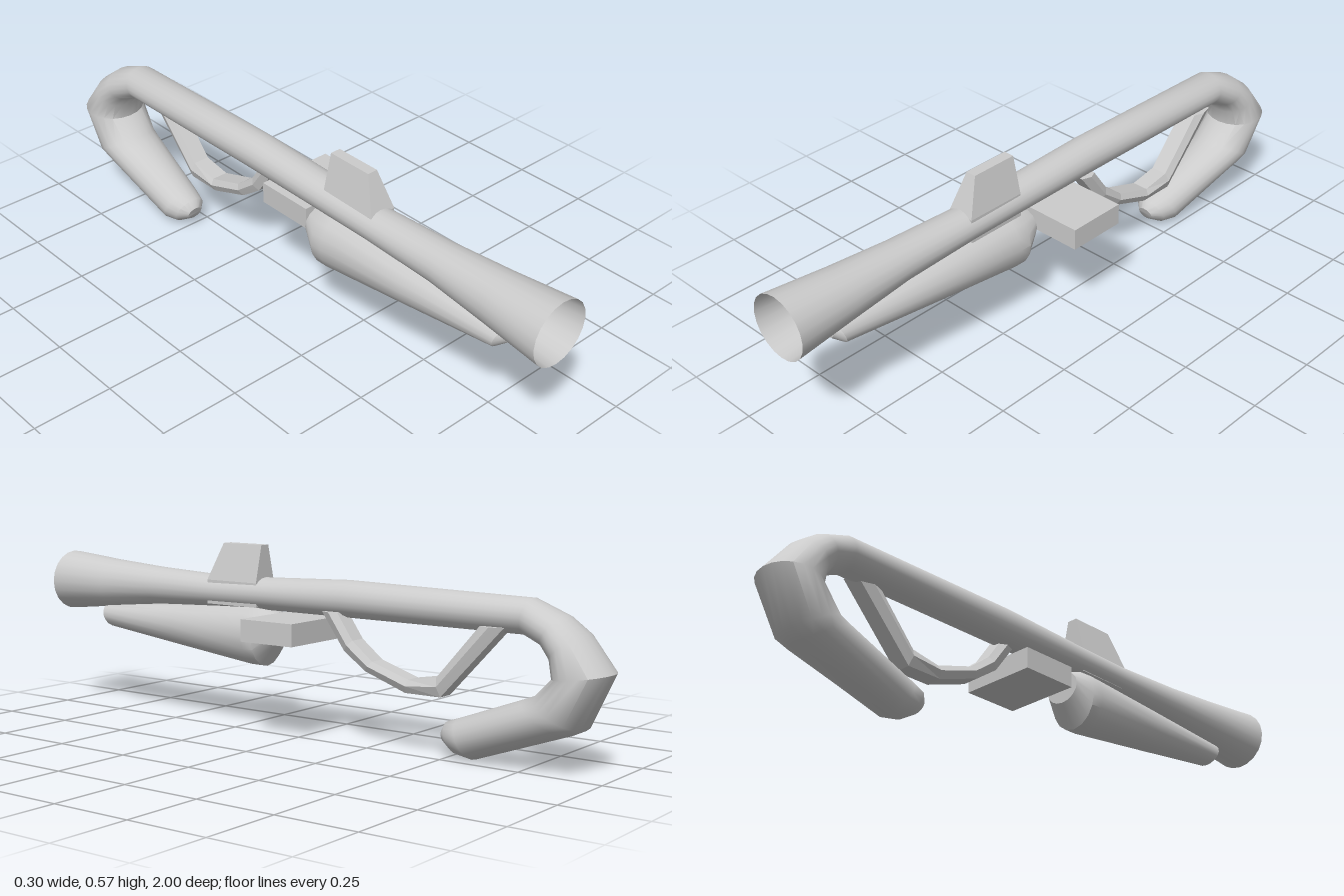
import * as THREE from 'three';
import { toCreasedNormals } from 'three/addons/utils/BufferGeometryUtils.js';

const CX = -0.05; // centre plane of the body

// Unit cross-section, counter-clockwise seen from the front
const circle = (n) => Array.from({ length: n }, (_, i) => {
  const a = (i / n) * Math.PI * 2;
  return [Math.cos(a), Math.sin(a)];
});

// Skin a row of rings running front to back.
// Each ring: [upper z, upper y, lower z, lower y, half width, centre x]
function loft(rings, section, crease, capFront, capBack) {
  const n = section.length, pos = [], idx = [];
  for (const [z1, y1, z2, y2, w, x = CX] of rings) {
    for (const [u, v] of section) {
      pos.push(x + u * w, (y1 + y2) / 2 + v * (y1 - y2) / 2, (z1 + z2) / 2 + v * (z1 - z2) / 2);
    }
  }
  for (let i = 0; i < rings.length - 1; i++) {
    for (let j = 0; j < n; j++) {
      const a = i * n + j, b = i * n + (j + 1) % n, c = a + n, d = b + n;
      idx.push(a, c, b, b, c, d);
    }
  }
  const last = (rings.length - 1) * n;
  for (let j = 1; j < n - 1; j++) {
    if (capFront) idx.push(0, j, j + 1);
    if (capBack) idx.push(last, last + j + 1, last + j);
  }
  const g = new THREE.BufferGeometry();
  g.setAttribute('position', new THREE.Float32BufferAttribute(pos, 3));
  g.setIndex(idx);
  return toCreasedNormals(g, crease);
}

export function createModel() {
  const group = new THREE.Group();
  const solid = new THREE.MeshStandardMaterial({ color: 0xcccccc });
  const open = new THREE.MeshStandardMaterial({ color: 0xcccccc, side: THREE.DoubleSide });
  const add = (name, geometry, material = solid) => {
    const mesh = new THREE.Mesh(geometry, material);
    mesh.name = name;
    group.add(mesh);
    return mesh;
  };

  // Flared barrel flowing into the hooked grip, open at the mouth
  add('barrelAndGrip', loft([
    [1, 0.515, 1, 0.32, 0.1],
    [0.8, 0.497, 0.8, 0.341, 0.081],
    [0.6, 0.483, 0.6, 0.362, 0.066],
    [0.35, 0.472, 0.35, 0.373, 0.06],
    [0.15, 0.476, 0.15, 0.375, 0.06],
    [-0.15, 0.487, -0.15, 0.375, 0.06],
    [-0.76, 0.478, -0.74, 0.375, 0.061],
    [-0.86, 0.437, -0.8, 0.35, 0.078],
    [-0.92, 0.392, -0.827, 0.315, 0.09],
    [-1, 0.29, -0.832, 0.268, 0.1],
    [-0.925, 0.132, -0.775, 0.212, 0.096, -0.053],
    [-0.885, 0.113, -0.74, 0.198, 0.092, -0.054],
    [-0.58, 0.004, -0.525, 0.117, 0.067, -0.064],
    [-0.53, 0.012, -0.487, 0.104, 0.054, -0.065],
    [-0.487, 0.038, -0.472, 0.08, 0.026, -0.065],
  ], circle(20), 0.75, false, true), open);

  // Tapered fore-end under the barrel
  add('foreEnd', loft([
    [0.845, 0.342, 0.845, 0.3, 0.02],
    [0.835, 0.348, 0.81, 0.272, 0.045],
    [0.5, 0.37, 0.5, 0.235, 0.066],
    [0.2, 0.39, 0.2, 0.2, 0.083],
    [0.16, 0.388, 0.16, 0.2, 0.083],
    [0.11, 0.37, 0.11, 0.272, 0.06],
  ], circle(16), 0.6, true, true));

  // Bevelled guard strap looping below the barrel
  const strap = [[1, 0.1], [0.7, 1], [-0.7, 1], [-1, 0.1], [-0.7, -1], [0.7, -1]];
  add('triggerGuard', loft([
    [-0.145, 0.395, -0.09, 0.395, 0.038, -0.022],
    [-0.2, 0.317, -0.17, 0.285, 0.038, -0.022],
    [-0.27, 0.262, -0.245, 0.232, 0.038, -0.022],
    [-0.395, 0.222, -0.385, 0.183, 0.038, -0.022],
    [-0.488, 0.238, -0.502, 0.183, 0.038, -0.022],
    [-0.625, 0.395, -0.7, 0.395, 0.038, -0.022],
  ], strap, 0.1, true, true));

  // Sight: straight base sunk in the barrel, tapered top with a sloping front
  const sight = new THREE.BoxGeometry(0.088, 1, 1, 1, 2, 1).toNonIndexed();
  const p = sight.attributes.position;
  for (let i = 0; i < p.count; i++) {
    const level = Math.round(p.getY(i) * 2);
    const top = level === 1;
    p.setXYZ(i,
      p.getX(i) * (top ? 0.38 : 1) - 0.045,
      [0.385, 0.46, 0.575][level + 1],
      p.getZ(i) < 0 ? 0.165 : top ? 0.315 : 0.36);
  }
  sight.computeVertexNormals();
  add('sight', sight);

  // Flat block crossing under the barrel and reaching out to the left
  add('sideBlock', new THREE.BoxGeometry(0.25, 0.067, 0.19)).position.set(0.027, 0.338, 0.005);

  return group;
}
